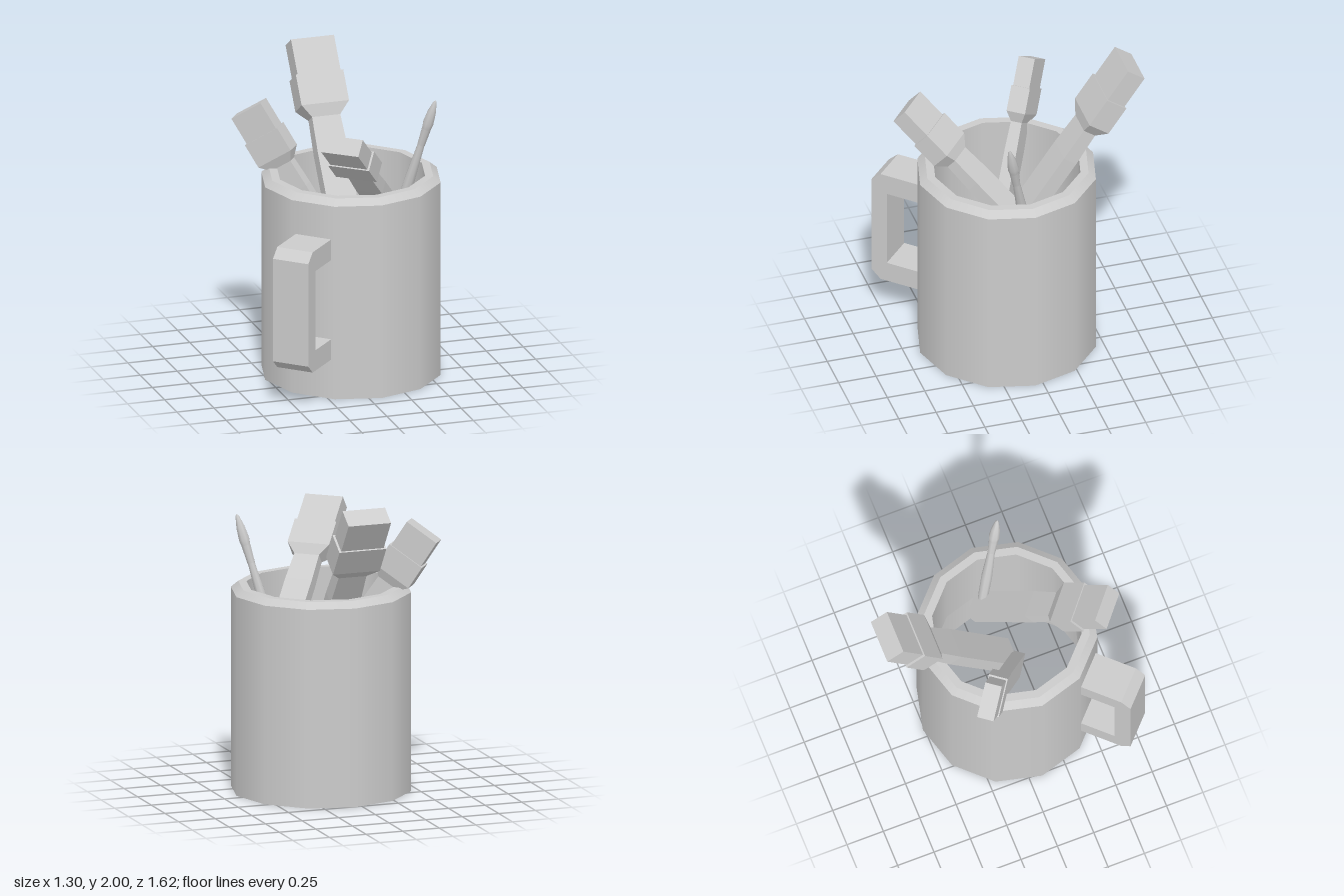
import * as THREE from 'three';

const RAD = Math.PI / 180;
const grey = new THREE.MeshStandardMaterial({ color: 0xcccccc });
const greyDouble = new THREE.MeshStandardMaterial({ color: 0xcccccc, side: THREE.DoubleSide });

function add(parent, name, geometry, material = grey) {
  const mesh = new THREE.Mesh(geometry, material);
  mesh.name = name;
  parent.add(mesh);
  return mesh;
}

// Box whose bottom and top rectangles ([width, thickness]) may differ
function taperedBox(y0, [w0, t0], y1, [w1, t1]) {
  const geo = new THREE.BoxGeometry(1, 1, 1).toNonIndexed();
  const p = geo.attributes.position;
  for (let i = 0; i < p.count; i++) {
    const top = p.getY(i) > 0;
    p.setXYZ(i, p.getX(i) * (top ? w1 : w0), top ? y1 : y0, p.getZ(i) * (top ? t1 : t0));
  }
  geo.computeVertexNormals();
  return geo;
}

// Group with its origin at the tool's tip, local +y along a lean in the heading
// direction (degrees from +x towards +z); onEdge turns the wide side upright
function leaningGroup(name, tip, heading, lean, onEdge = false) {
  const a = heading * RAD, l = lean * RAD;
  const axis = new THREE.Vector3(Math.cos(a) * Math.sin(l), Math.cos(l), Math.sin(a) * Math.sin(l));
  const side = new THREE.Vector3(Math.sin(a), 0, -Math.cos(a));
  const across = new THREE.Vector3().crossVectors(side, axis);
  const basis = new THREE.Matrix4();
  if (onEdge) basis.makeBasis(across, axis, side.clone().negate());
  else basis.makeBasis(side, axis, across);
  const group = new THREE.Group();
  group.name = name;
  group.quaternion.setFromRotationMatrix(basis);
  group.position.set(...tip);
  return group;
}

// Flat brush: bristles, metal ferrule, neck and long handle
function flatBrush(name, tip, heading, lean, size, length, onEdge) {
  const g = leaningGroup(name, tip, heading, lean, onEdge);
  const s = size, r = (w, t) => [w * s, t * s];
  add(g, 'bristles', taperedBox(-0.236 * s, r(0.29, 0.135), 0, r(0.29, 0.135)));
  add(g, 'ferrule', taperedBox(-0.443 * s, r(0.32, 0.155), -0.236 * s, r(0.32, 0.155)));
  add(g, 'neck', taperedBox(-0.52 * s, r(0.19, 0.09), -0.443 * s, r(0.32, 0.155)));
  add(g, 'upperHandle', taperedBox(-0.75 * s, r(0.205, 0.1), -0.52 * s, r(0.19, 0.09)));
  add(g, 'lowerHandle', taperedBox(-length, r(0.2, 0.1), -0.75 * s, r(0.205, 0.1)));
  return g;
}

// Slim pointed brush turned from a few profile rings
function roundBrush() {
  const g = leaningGroup('roundBrush', [0.59, 1.82, 0.21], 42.5, 18);
  const turned = (name, pts) => add(g, name,
    new THREE.LatheGeometry(pts.map(([x, y]) => new THREE.Vector2(x, y)), 8));
  turned('handle', [[0, -1.02], [0.03, -1.02], [0.036, -0.6], [0.024, -0.33]]);
  turned('ferrule', [[0.026, -0.33], [0.031, -0.21]]);
  turned('bristles', [[0.031, -0.21], [0.036, -0.17], [0.029, -0.09], [0.012, -0.015], [0, 0]]);
  return g;
}

function mug() {
  const g = new THREE.Group();
  g.name = 'mug';
  g.position.set(0.065, 0, 0.07);

  // Twelve-sided wall, open below, with a bevelled rim and a shorter lining
  const profile = [[0.583, 0.005], [0.583, 1.31], [0.535, 1.35], [0.482, 1.35], [0.482, 0.7]];
  ['outerWall', 'rimBevel', 'rim', 'innerWall'].forEach((name, i) => {
    const pts = [profile[i], profile[i + 1]].map(([x, y]) => new THREE.Vector2(x, y));
    add(g, name, new THREE.LatheGeometry(pts, 12, 1.5 * RAD), greyDouble);
  });

  // Square-section handle with chamfered outer corners
  const outline = [[0.558, 0.27], [0.84, 0.27], [0.905, 0.33], [0.905, 1.025], [0.84, 1.085], [0.558, 1.085],
    [0.558, 0.945], [0.795, 0.945], [0.795, 0.408], [0.558, 0.408]];
  const shape = new THREE.Shape(outline.map(([x, y]) => new THREE.Vector2(x, y)));
  const geo = new THREE.ExtrudeGeometry(shape, { depth: 0.25, bevelEnabled: false });
  geo.translate(0, 0, -0.125);
  add(g, 'mugHandle', geo).rotation.y = -133.5 * RAD;
  return g;
}

export function createModel() {
  const model = new THREE.Group();
  model.name = 'mugOfBrushes';
  model.add(
    mug(),
    flatBrush('largeBrush', [0.06, 1.965, -0.755], -90, 35, 1, 1.45),
    flatBrush('mediumBrush', [-0.19, 1.745, 0.66], 130, 49, 0.88, 1.18),
    flatBrush('smallBrush', [-0.51, 1.725, -0.275], 217, 33, 0.81, 1.18, true),
    roundBrush(),
  );
  return model;
}
